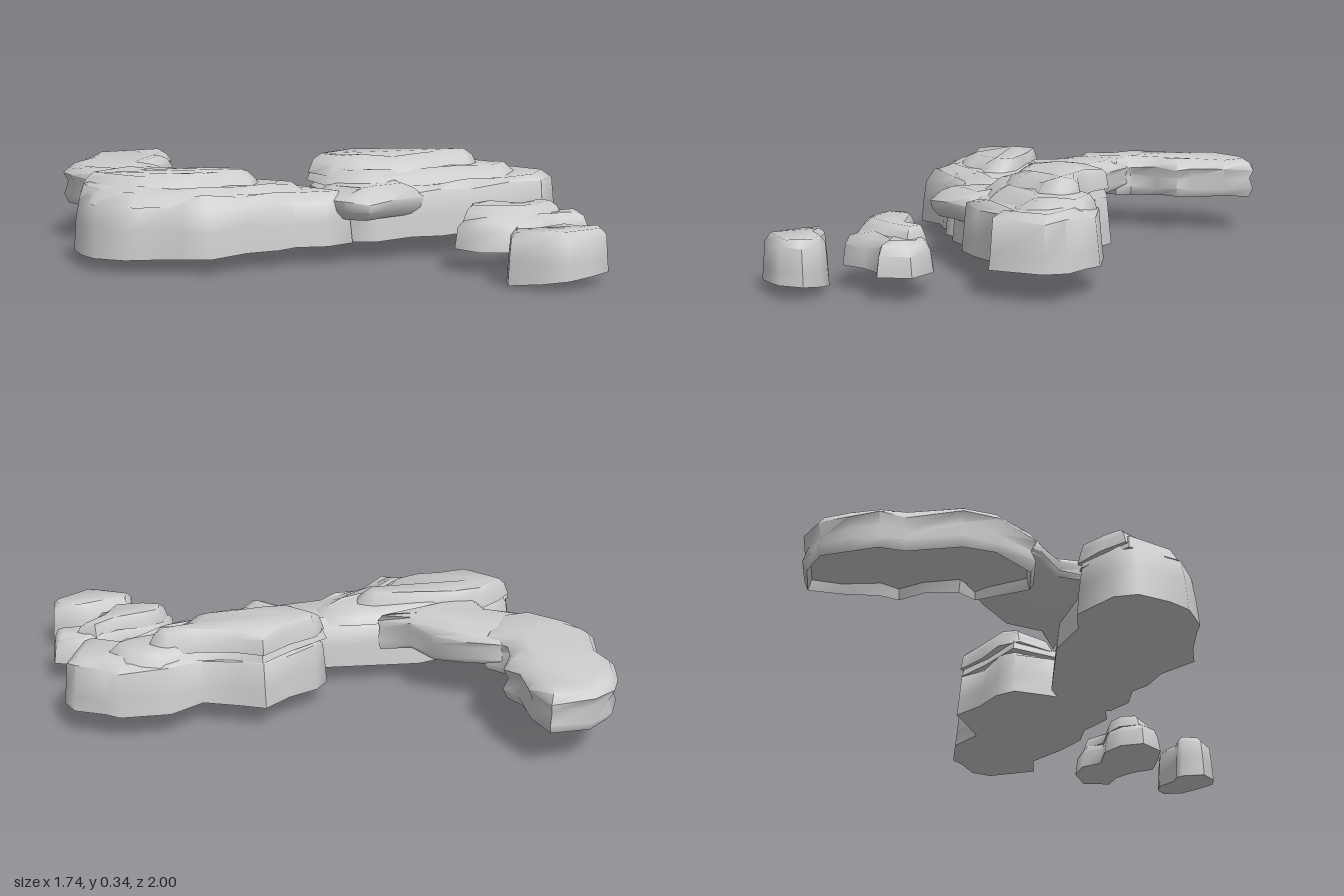
import * as THREE from 'three';
import { toCreasedNormals } from 'three/addons/utils/BufferGeometryUtils.js';

const stone = new THREE.MeshStandardMaterial({ color: 0xcccccc });
stone.name = 'stone grey';

// Moves every outline point inward by t along its corner bisector; lean insets the front more than the back.
function inset(pts, t, lean) {
  const n = pts.length;
  return pts.map((p, i) => {
    const d = pts[(i + 1) % n].clone().sub(pts[(i + n - 1) % n]).normalize();
    const s = t * (1 - lean * d.x);
    return new THREE.Vector2(p.x - d.y * s, p.y + d.x * s);
  });
}

// Rock from an [x, z] outline and rings [y, inset, slopeX, slopeZ], bottom to top.
function rock(name, outline, rings, rough = 0.008, lean = 0) {
  const pts = outline.map(([x, z]) => new THREE.Vector2(x, z));
  if (THREE.ShapeUtils.area(pts) < 0) pts.reverse();
  const n = pts.length, pos = [], index = [];
  const loops = rings.map(([, t]) => inset(pts, t, lean));
  rings.forEach(([y, , sx = 0, sz = 0], k) => loops[k].forEach((p, i) => {
    const bump = k === 0 ? 0 : rough * Math.sin(i * 2.4 + k * 1.7);
    pos.push(p.x, y + sx * p.x + sz * p.y + bump, p.y);
  }));
  // walls
  for (let k = 0; k < rings.length - 1; k++) {
    for (let i = 0; i < n; i++) {
      const a = k * n + i, b = k * n + (i + 1) % n;
      index.push(a, a + n, b, b, a + n, b + n);
    }
  }
  // bottom and top caps
  const cap = (k, up) => {
    for (const [a, b, c] of THREE.ShapeUtils.triangulateShape(loops[k], [])) {
      const ccw = THREE.ShapeUtils.area([loops[k][a], loops[k][b], loops[k][c]]) > 0;
      const o = k * n;
      if (ccw === up) index.push(o + a, o + c, o + b);
      else index.push(o + a, o + b, o + c);
    }
  };
  cap(0, false);
  cap(rings.length - 1, true);
  const geo = new THREE.BufferGeometry();
  geo.setAttribute('position', new THREE.Float32BufferAttribute(pos, 3));
  geo.setIndex(index);
  const mesh = new THREE.Mesh(toCreasedNormals(geo, 1.05), stone);
  mesh.name = name;
  return mesh;
}

export function createModel() {
  const g = new THREE.Group();
  g.name = 'rockFormation';

  // Left ledge: wide base with stepped tiers at the back
  g.add(rock('leftLedge', [
    [-0.87, -0.08], [-0.82, -0.14], [-0.66, -0.18], [-0.57, -0.13], [-0.4, -0.12], [-0.24, -0.05],
    [-0.08, 0.02], [-0.02, 0.08], [0.04, 0.2], [0, 0.3], [-0.1, 0.32], [-0.2, 0.28], [-0.27, 0.3],
    [-0.38, 0.29], [-0.52, 0.335], [-0.6, 0.28], [-0.72, 0.22], [-0.77, 0.2], [-0.85, 0.11], [-0.87, 0.03],
  ], [[0.066, 0, 0.029], [0.14, 0.008], [0.205, 0.02, -0.01], [0.233, 0.055, -0.03]]));
  g.add(rock('leftMiddleTier', [
    [-0.84, -0.09], [-0.66, -0.16], [-0.5, -0.11], [-0.36, -0.08], [-0.2, -0.01], [-0.1, 0.06],
    [-0.11, 0.17], [-0.22, 0.22], [-0.35, 0.23], [-0.44, 0.26], [-0.53, 0.28], [-0.62, 0.23], [-0.73, 0.19], [-0.83, 0.08],
  ], [[0.215, -0.01], [0.235, 0.015, -0.03], [0.252, 0.05, -0.03]], 0.005, 0.5));
  g.add(rock('leftTopTier', [
    [-0.83, -0.1], [-0.75, -0.14], [-0.65, -0.165], [-0.56, -0.12], [-0.42, -0.06], [-0.29, 0.01],
    [-0.25, 0.07], [-0.3, 0.14], [-0.38, 0.13], [-0.46, 0.18], [-0.57, 0.17], [-0.68, 0.15], [-0.79, 0.08],
  ], [[0.235, -0.01], [0.275, 0.012], [0.305, 0.042]], 0.005, 0.6));

  // Right ledge
  g.add(rock('rightLedge', [
    [-0.03, 0.05], [-0.01, -0.09], [0.06, -0.13], [0.18, -0.14], [0.3, -0.18], [0.36, -0.12], [0.46, -0.03],
    [0.6, -0.06], [0.76, 0], [0.79, 0.05], [0.865, 0.13], [0.865, 0.21], [0.73, 0.345], [0.62, 0.29],
    [0.45, 0.33], [0.32, 0.345], [0.22, 0.31], [0.08, 0.33], [-0.02, 0.27],
  ], [[0.066, 0, 0.029], [0.14, 0.006], [0.22, 0.016, 0.03], [0.24, 0.055, 0.03]]));
  g.add(rock('rightMiddleTier', [
    [0, -0.09], [0.17, -0.12], [0.3, -0.16], [0.37, -0.07], [0.48, -0.01], [0.62, -0.03], [0.71, 0.04],
    [0.73, 0.16], [0.63, 0.23], [0.5, 0.21], [0.36, 0.26], [0.26, 0.23], [0.12, 0.23], [0.01, 0.14],
  ], [[0.235, -0.01], [0.268, 0.015], [0.292, 0.045]], 0.005, 0.5));
  g.add(rock('rightTopTier', [
    [0, -0.07], [0.06, -0.12], [0.18, -0.13], [0.3, -0.165], [0.36, -0.09], [0.46, -0.02], [0.57, 0.01],
    [0.6, 0.08], [0.54, 0.14], [0.45, 0.13], [0.37, 0.18], [0.23, 0.17], [0.12, 0.12], [0.03, 0.07],
  ], [[0.265, -0.01], [0.31, 0.012, 0.02], [0.333, 0.042, 0.01]], 0.005, 0.6));
  // Overhanging boulder at the joint
  g.add(rock('jointBoulder', [
    [-0.1, 0.2], [-0.04, 0.08], [0.1, 0.06], [0.26, 0.14], [0.27, 0.31], [0.12, 0.355], [0.02, 0.395], [-0.05, 0.34],
  ], [[0.15, 0.03], [0.18, 0.005], [0.21, 0], [0.238, 0.04], [0.25, 0.08, 0.05]], 0.005));

  // Curved arm reaching back: a far slab with a shallow hollow underneath, and a link to the left ledge
  g.add(rock('backArm', [
    [-0.28, -0.95], [-0.42, -1], [-0.52, -0.985], [-0.6, -0.92], [-0.66, -0.84], [-0.67, -0.76], [-0.78, -0.62],
    [-0.78, -0.5], [-0.72, -0.35], [-0.6, -0.3], [-0.44, -0.43],
    [-0.48, -0.51], [-0.42, -0.59], [-0.34, -0.65], [-0.35, -0.72], [-0.29, -0.83],
  ], [[0.165, 0.03], [0.13, 0.018], [0.16, 0.002], [0.205, 0.018], [0.24, 0], [0.264, 0.02], [0.277, 0.05]], 0.005));
  g.add(rock('armLink', [
    [-0.72, -0.4], [-0.7, -0.32], [-0.64, -0.23], [-0.65, -0.08], [-0.26, -0.05], [-0.33, -0.15],
    [-0.33, -0.28], [-0.4, -0.4], [-0.47, -0.49], [-0.6, -0.52],
  ], [[0.08, 0.015, -0.17], [0.115, 0.002, -0.14], [0.205, 0.01], [0.235, 0], [0.258, 0.02], [0.268, 0.05]], 0.004));

  // Detached rocks in front
  g.add(rock('frontRock', [
    [0.24, 0.58], [0.3, 0.51], [0.39, 0.49], [0.5, 0.53], [0.57, 0.485], [0.66, 0.5], [0.74, 0.58], [0.7, 0.68],
    [0.62, 0.67], [0.54, 0.7], [0.47, 0.755], [0.37, 0.72], [0.28, 0.68],
  ], [[0.075, 0], [0.14, 0.01], [0.165, 0.025], [0.18, 0.05]], 0.006));
  g.add(rock('frontRockTop', [
    [0.27, 0.58], [0.32, 0.52], [0.4, 0.51], [0.5, 0.545], [0.6, 0.51], [0.65, 0.58], [0.54, 0.65], [0.45, 0.71], [0.32, 0.67],
  ], [[0.165, 0], [0.2, 0.015, -0.01], [0.224, 0.035, -0.02]], 0.004, 0.5));
  g.add(rock('smallFrontRock', [
    [0.27, 0.87], [0.31, 0.795], [0.34, 0.785], [0.4, 0.81], [0.5, 0.8], [0.56, 0.83], [0.61, 0.89],
    [0.58, 0.96], [0.5, 0.985], [0.41, 1], [0.34, 0.96],
  ], [[-0.107, 0, 0.09, 0.1], [0.08, 0.004], [0.15, 0.01, 0.01], [0.172, 0.03, 0.01]], 0.004));
  return g;
}
